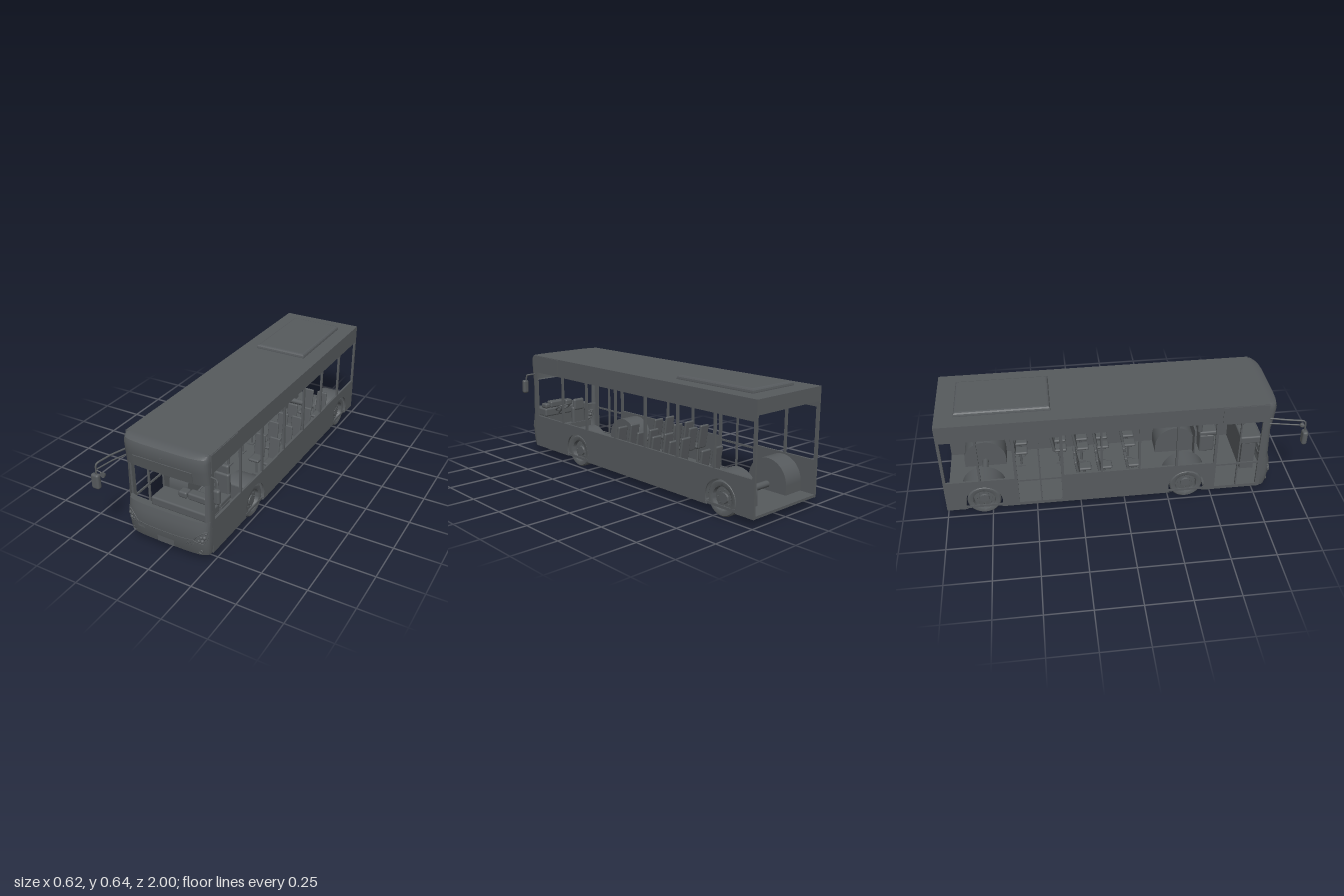
import * as THREE from 'three';
import { toCreasedNormals } from 'three/addons/utils/BufferGeometryUtils.js';
import { RoundedBoxGeometry } from 'three/addons/geometries/RoundedBoxGeometry.js';

const W = 0.243, BOTTOM = 0.045, TOP = 0.62, SILL = 0.24, HEAD = 0.515;
const AXLES = [0.35, -0.79], WHEEL_Y = 0.094, WHEEL_R = 0.093, NOSE_START = 0.77;
const grey = new THREE.MeshStandardMaterial({ color: 0x565a5d, side: THREE.DoubleSide });
grey.name = 'slate grey';

// Nose profile rows: [y, front z, half width]
const LOWER = [[0.045, 0.83, 0.236], [0.08, 0.84, 0.242], [0.13, 0.847, 0.243], [0.17, 0.848, 0.243], [0.21, 0.842, 0.243], [0.245, 0.832, 0.243]];
const PILLAR = [[0.245, 0.83, 0.243], [0.35, 0.825, 0.243], [0.46, 0.82, 0.243]];
const UPPER = [[0.46, 0.825, 0.243], [0.53, 0.837, 0.243], [0.58, 0.843, 0.243], [0.605, 0.835, 0.241], [0.617, 0.815, 0.237], [0.62, 0.79, 0.23]];

function add(parent, name, geometry, x = 0, y = 0, z = 0) {
  const mesh = new THREE.Mesh(geometry, grey);
  mesh.name = name;
  mesh.position.set(x, y, z);
  parent.add(mesh);
  return mesh;
}
const box = (p, name, w, h, d, x, y, z) => add(p, name, new THREE.BoxGeometry(w, h, d), x, y, z);
const soft = (p, name, w, h, d, x, y, z, r = 0.01) => add(p, name, new RoundedBoxGeometry(w, h, d, 2, r), x, y, z);
const tube = (p, name, pts, r) => add(p, name, new THREE.TubeGeometry(
  new THREE.CatmullRomCurve3(pts.map(a => new THREE.Vector3(...a)), false, 'catmullrom', 0.2), 24, r, 8));

// Point on the rounded plan of the nose, angle 0..PI from right to left
function planPoint([y, zf, w], a) {
  const c = Math.cos(a), s = Math.max(0, Math.sin(a));
  return [-w * Math.sign(c) * Math.sqrt(Math.abs(c)), y, NOSE_START + (zf - NOSE_START) * Math.sqrt(s)];
}

function shell(rows, a0, a1, n) {
  const pos = [], index = [];
  rows.forEach((row, j) => {
    for (let i = 0; i <= n; i++) {
      pos.push(...planPoint(row, a0 + (a1 - a0) * i / n));
      if (i < n && j < rows.length - 1) {
        const a = j * (n + 1) + i, b = a + n + 1;
        index.push(a, a + 1, b, a + 1, b + 1, b);
      }
    }
  });
  const g = new THREE.BufferGeometry();
  g.setAttribute('position', new THREE.Float32BufferAttribute(pos, 3));
  g.setIndex(index);
  return toCreasedNormals(g, 0.6);
}

// Depth of the nose surface at x, y
function noseZ(x, y) {
  const rows = y < 0.3 ? LOWER : UPPER;
  let i = 0;
  while (i < rows.length - 2 && rows[i + 1][0] < y) i++;
  const [y0, z0] = rows[i], [y1, z1] = rows[i + 1];
  const zf = z0 + (z1 - z0) * (y - y0) / (y1 - y0);
  return NOSE_START + (zf - NOSE_START) * Math.pow(Math.max(0, 1 - Math.pow(x / W, 4)), 0.25);
}

const rect = (Type, x0, y0, x1, y1) => {
  const s = new Type();
  s.moveTo(x0, y0); s.lineTo(x1, y0); s.lineTo(x1, y1); s.lineTo(x0, y1); s.closePath();
  return s;
};

// Side wall drawn in z, y with wheel arches and openings
function sideWall(openings) {
  const s = new THREE.Shape(), r = 0.106, a = Math.asin((WHEEL_Y - BOTTOM) / r), dz = r * Math.cos(a);
  s.moveTo(-1, BOTTOM);
  for (const z of [...AXLES].reverse()) {
    s.lineTo(z - dz, BOTTOM);
    s.absarc(z, WHEEL_Y, r, Math.PI + a, -a, true);
  }
  s.lineTo(0.78, BOTTOM); s.lineTo(0.78, TOP); s.lineTo(-1, TOP); s.closePath();
  for (const [z0, y0, z1, y1] of openings) s.holes.push(rect(THREE.Path, z0, y0, z1, y1));
  return new THREE.ExtrudeGeometry(s, { depth: 0.012, bevelEnabled: false, curveSegments: 24 }).rotateY(-Math.PI / 2);
}
const windowsBetween = zs => zs.slice(1).map((z, i) => [zs[i] + 0.006, SILL, z - 0.006, HEAD]);

function wheel(parent, name, x, z, side) {
  const g = new THREE.Group();
  g.name = name;
  // Half-section of tyre and dished rim; the axis becomes x
  const pts = [[0.001, 0.012], [0.025, 0.012], [0.028, 0.004], [0.058, 0.002], [0.062, 0.022], [0.068, 0.025], [0.086, 0.025],
    [WHEEL_R, 0.018], [WHEEL_R, -0.018], [0.086, -0.025], [0.06, -0.025], [0.001, -0.02]].map(p => new THREE.Vector2(...p));
  const mesh = add(g, 'tyre and rim', toCreasedNormals(new THREE.LatheGeometry(pts, 40), 0.5));
  mesh.rotation.z = -side * Math.PI / 2;
  for (let i = 0; i < 8; i++) {
    const a = i * Math.PI / 4;
    add(g, 'wheel nut', new THREE.CylinderGeometry(0.004, 0.004, 0.008, 6).rotateZ(Math.PI / 2), side * 0.006, 0.042 * Math.sin(a), 0.042 * Math.cos(a));
  }
  g.position.set(x, WHEEL_Y, z);
  parent.add(g);
}

function seat(parent, x, z) {
  const g = new THREE.Group();
  g.name = 'passenger seat';
  soft(g, 'seat cushion', 0.065, 0.018, 0.075, 0, 0.165, 0.035);
  soft(g, 'seat back', 0.065, 0.14, 0.016, 0, 0.23, -0.012, 0.007).rotation.x = -0.16;
  add(g, 'seat post', new THREE.CylinderGeometry(0.007, 0.007, 0.1, 8), 0, 0.11, 0.03);
  box(g, 'seat foot', 0.035, 0.006, 0.045, 0, 0.063, 0.03);
  g.position.set(x, 0, z);
  parent.add(g);
}

export function createModel() {
  const bus = new THREE.Group();
  bus.name = 'city bus';

  // Side walls: windows on the left, windows and two double doors on the right
  add(bus, 'left side wall', sideWall(windowsBetween([-0.99, -0.74, -0.485, -0.24, 0.005, 0.265, 0.495, 0.762])), W);
  const doors = [[-0.595, -0.475], [-0.467, -0.355], [0.515, 0.636], [0.644, 0.755]].map(([a, b]) => [a, 0.065, b, 0.505]);
  add(bus, 'right side wall', sideWall([...windowsBetween([-0.99, -0.8, -0.605]),
    ...windowsBetween([-0.345, -0.13, 0.08, 0.29, 0.505]), ...doors]), -W + 0.012);
  for (const [z0, y0, z1] of doors) box(bus, 'door mid rail', 0.008, 0.01, z1 - z0, -W + 0.006, SILL - 0.02, (z0 + z1) / 2);

  // Floor with wheel openings
  const floor = rect(THREE.Shape, -0.236, -1, 0.236, 0.775);
  for (const z of AXLES) for (const s of [-1, 1])
    floor.holes.push(rect(THREE.Path, Math.min(s * 0.115, s * 0.23), z - 0.105, Math.max(s * 0.115, s * 0.23), z + 0.105));
  add(bus, 'floor', new THREE.ExtrudeGeometry(floor, { depth: 0.014, bevelEnabled: false }).rotateX(Math.PI / 2).scale(1, 1, 1), 0, 0.06, 0).scale.z = 1;
  box(bus, 'roof', W * 2, 0.014, 1.78, 0, TOP - 0.007, -0.11);
  box(bus, 'rear header', W * 2, 0.075, 0.02, 0, TOP - 0.0375, -0.99);
  box(bus, 'ceiling beam', 0.46, 0.03, 0.05, 0, 0.56, -0.93);
  for (const s of [-1, 1]) {
    box(bus, 'ceiling duct', 0.04, 0.05, 1.72, s * 0.21, 0.575, -0.1);
    box(bus, 'front roof fairing', 0.005, 0.1, 0.25, s * 0.2445, 0.567, 0.655);
  }

  // Roof pod
  const pod = rect(THREE.Shape, -0.14, -0.24, 0.14, 0.24);
  add(bus, 'roof pod', new THREE.ExtrudeGeometry(pod, { depth: 0.006, bevelSize: 0.015, bevelThickness: 0.018, bevelSegments: 3 })
    .rotateX(-Math.PI / 2), 0, 0.618, -0.645);

  // Rounded nose with open windscreen
  add(bus, 'lower nose', shell([[BOTTOM, NOSE_START, 0.236], ...LOWER, [0.245, 0.79, 0.235]], 0, Math.PI, 64));
  add(bus, 'upper nose', shell([[0.46, 0.79, 0.235], ...UPPER, [TOP, NOSE_START, 0.23]], 0, Math.PI, 64));
  add(bus, 'right windscreen pillar', shell(PILLAR, 0, 0.57, 12));
  add(bus, 'left windscreen pillar', shell(PILLAR, Math.PI - 0.57, Math.PI, 12));
  box(bus, 'destination sign', 0.342, 0.064, 0.004, 0, 0.498, 0.833).rotation.x = 0.17;
  box(bus, 'number plate', 0.1, 0.038, 0.005, 0, 0.074, 0.839);
  box(bus, 'front camera', 0.014, 0.009, 0.006, 0, 0.559, 0.841);
  const crease = [];
  for (let i = -10; i <= 10; i++) {
    const x = i * 0.0175, y = 0.132 + 0.012 * Math.pow(Math.abs(i) / 10, 3);
    crease.push([x, y, noseZ(x, y)]);
  }
  tube(bus, 'nose crease', crease, 0.002);

  for (const s of [-1, 1]) {
    // Headlight cluster, fog light and grille slots
    const edge = [[0.165, 0.137], [0.185, 0.165], [0.217, 0.19], [0.236, 0.195], [0.235, 0.155], [0.215, 0.122], [0.165, 0.137]];
    tube(bus, 'headlight surround', edge.map(([x, y]) => [s * x, y, noseZ(x, y)]), 0.003);
    for (const [x, y, r] of [[0.212, 0.14, 0.011], [0.195, 0.14, 0.008], [0.222, 0.162, 0.011], [0.207, 0.162, 0.008], [0.228, 0.182, 0.007]])
      add(bus, 'headlamp', new THREE.SphereGeometry(r, 14, 10), s * x, y, noseZ(x, y) - 0.003);
    add(bus, 'fog light', new THREE.TorusGeometry(0.011, 0.003, 8, 20), s * 0.2, 0.07, noseZ(0.2, 0.07));
    for (let i = 0; i < 5; i++) {
      const x = 0.13 + i * 0.009;
      box(bus, 'grille slot', 0.003, 0.016, 0.005, s * x, 0.113, noseZ(x, 0.113)).rotation.z = -s * 0.45;
    }
    // Wheels, arch lips and interior wheel boxes
    AXLES.forEach((z, i) => {
      wheel(bus, i ? 'rear outer wheel' : 'front wheel', s * 0.209, z, s);
      if (i) wheel(bus, 'rear inner wheel', s * 0.156, z, s);
      add(bus, 'wheel arch lip', new THREE.RingGeometry(0.102, 0.118, 32, 1, -0.3, Math.PI + 0.6).rotateY(Math.PI / 2), s * (W + 0.002), WHEEL_Y, z);
      const arch = new THREE.Shape();
      arch.moveTo(0.122, 0.05); arch.lineTo(0.122, 0.11);
      arch.absarc(0, 0.11, 0.122, 0, Math.PI, false);
      arch.lineTo(-0.122, 0.05);
      const pts = arch.getPoints(20), solid = new THREE.BufferGeometry(), p = [], idx = [];
      pts.forEach((q, k) => {
        p.push(s * 0.11, q.y, q.x, s * 0.236, q.y, q.x);
        if (k) idx.push(2 * k - 2, 2 * k - 1, 2 * k, 2 * k - 1, 2 * k + 1, 2 * k);
      });
      solid.setAttribute('position', new THREE.Float32BufferAttribute(p, 3));
      solid.setIndex(idx);
      solid.computeVertexNormals();
      add(bus, 'wheel box', solid, 0, 0, z);
      add(bus, 'wheel box inner face', new THREE.ShapeGeometry(arch, 20).rotateY(-Math.PI / 2), s * 0.11, 0, z);
    });
  }
  add(bus, 'rear axle', new THREE.CylinderGeometry(0.018, 0.018, 0.28, 12).rotateZ(Math.PI / 2), 0, WHEEL_Y, AXLES[1]);

  // Passenger seats in pairs
  for (const z of [0.03, -0.13, -0.25]) for (const x of [-0.183, -0.093]) seat(bus, x, z);
  for (const z of [0.03, -0.13, -0.25, -0.38, -0.61]) for (const x of [0.183, 0.093]) seat(bus, x, z);

  // Driver's area
  soft(bus, 'dashboard', 0.33, 0.05, 0.12, 0.065, 0.265, 0.75);
  box(bus, 'dashboard base', 0.33, 0.19, 0.08, 0.065, 0.15, 0.74);
  soft(bus, 'left console', 0.036, 0.03, 0.05, 0.207, 0.305, 0.72);
  soft(bus, 'right console', 0.05, 0.036, 0.05, 0.045, 0.307, 0.72);
  soft(bus, 'instrument hood', 0.11, 0.04, 0.05, 0.13, 0.31, 0.72);
  add(bus, 'steering wheel', new THREE.TorusGeometry(0.043, 0.005, 8, 28), 0.13, 0.295, 0.65).rotation.x = -1;
  tube(bus, 'steering column', [[0.13, 0.295, 0.65], [0.13, 0.25, 0.7]], 0.008);
  soft(bus, 'driver seat base', 0.09, 0.12, 0.09, 0.13, 0.12, 0.54);
  soft(bus, 'driver cushion', 0.1, 0.03, 0.11, 0.13, 0.195, 0.545);
  soft(bus, 'driver seat back', 0.09, 0.13, 0.03, 0.13, 0.265, 0.495, 0.012);
  soft(bus, 'driver headrest', 0.075, 0.07, 0.026, 0.13, 0.342, 0.488, 0.012);
  box(bus, 'driver partition', 0.17, 0.18, 0.008, 0.145, 0.15, 0.46);

  // Mirrors on arms
  tube(bus, 'right mirror arm', [[-0.238, 0.523, 0.79], [-0.265, 0.524, 0.88], [-0.28, 0.522, 0.965], [-0.285, 0.51, 0.978], [-0.286, 0.45, 0.98]], 0.005);
  tube(bus, 'right lower arm', [[-0.238, 0.488, 0.79], [-0.262, 0.492, 0.88], [-0.28, 0.49, 0.975]], 0.004);
  tube(bus, 'small mirror arm', [[-0.282, 0.482, 0.978], [-0.265, 0.478, 0.975], [-0.25, 0.468, 0.975]], 0.003);
  soft(bus, 'right mirror', 0.046, 0.084, 0.03, -0.291, 0.42, 0.98, 0.012);
  add(bus, 'small mirror', new THREE.CylinderGeometry(0.016, 0.012, 0.014, 6).rotateX(Math.PI / 2), -0.247, 0.467, 0.975);
  tube(bus, 'left mirror arm', [[0.238, 0.5, 0.78], [0.275, 0.5, 0.788], [0.288, 0.494, 0.8], [0.291, 0.45, 0.81]], 0.005);
  soft(bus, 'left mirror', 0.036, 0.082, 0.03, 0.293, 0.425, 0.812, 0.012);
  return bus;
}
